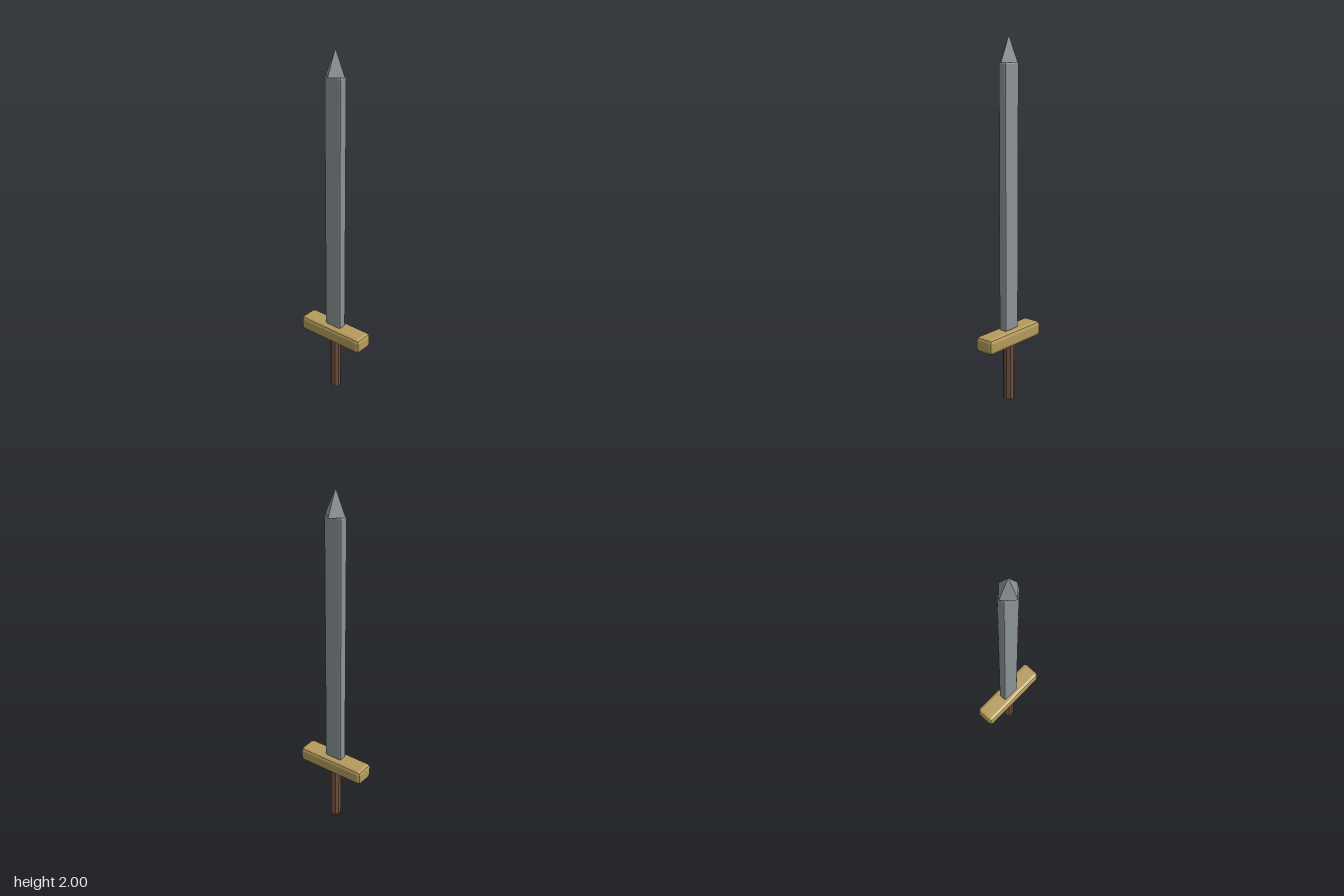
import * as THREE from 'three';
import { RoundedBoxGeometry } from 'three/addons/geometries/RoundedBoxGeometry.js';

const material = (color) => new THREE.MeshStandardMaterial({ color, flatShading: true });

export function createModel() {
  const sword = new THREE.Group();
  sword.name = 'sword';
  const steel = material(0x8a9493);
  const brass = material(0xb59a5c);
  const wood = material(0x6f5140);

  const add = (name, geometry, mat, y) => {
    const mesh = new THREE.Mesh(geometry, mat);
    mesh.name = name;
    mesh.position.y = y;
    sword.add(mesh);
    return mesh;
  };

  // Ten-sided grip, running slightly into the guard
  const grip = add('grip', new THREE.CylinderGeometry(0.034, 0.034, 0.34, 10), wood, 0.17);
  grip.scale.x = 0.96;

  // Bevelled crossguard
  add('crossguard', new RoundedBoxGeometry(0.42, 0.086, 0.114, 1, 0.02), brass, 0.368);

  // Bevelled blade from the guard up to the tip
  add('blade', new RoundedBoxGeometry(0.106, 1.455, 0.05, 1, 0.01), steel, 1.1375);

  // Four-sided pyramid tip with its corners on the x and z axes
  add('tip', new THREE.ConeGeometry(0.061, 0.137, 4), steel, 1.9315);

  return sword;
}
